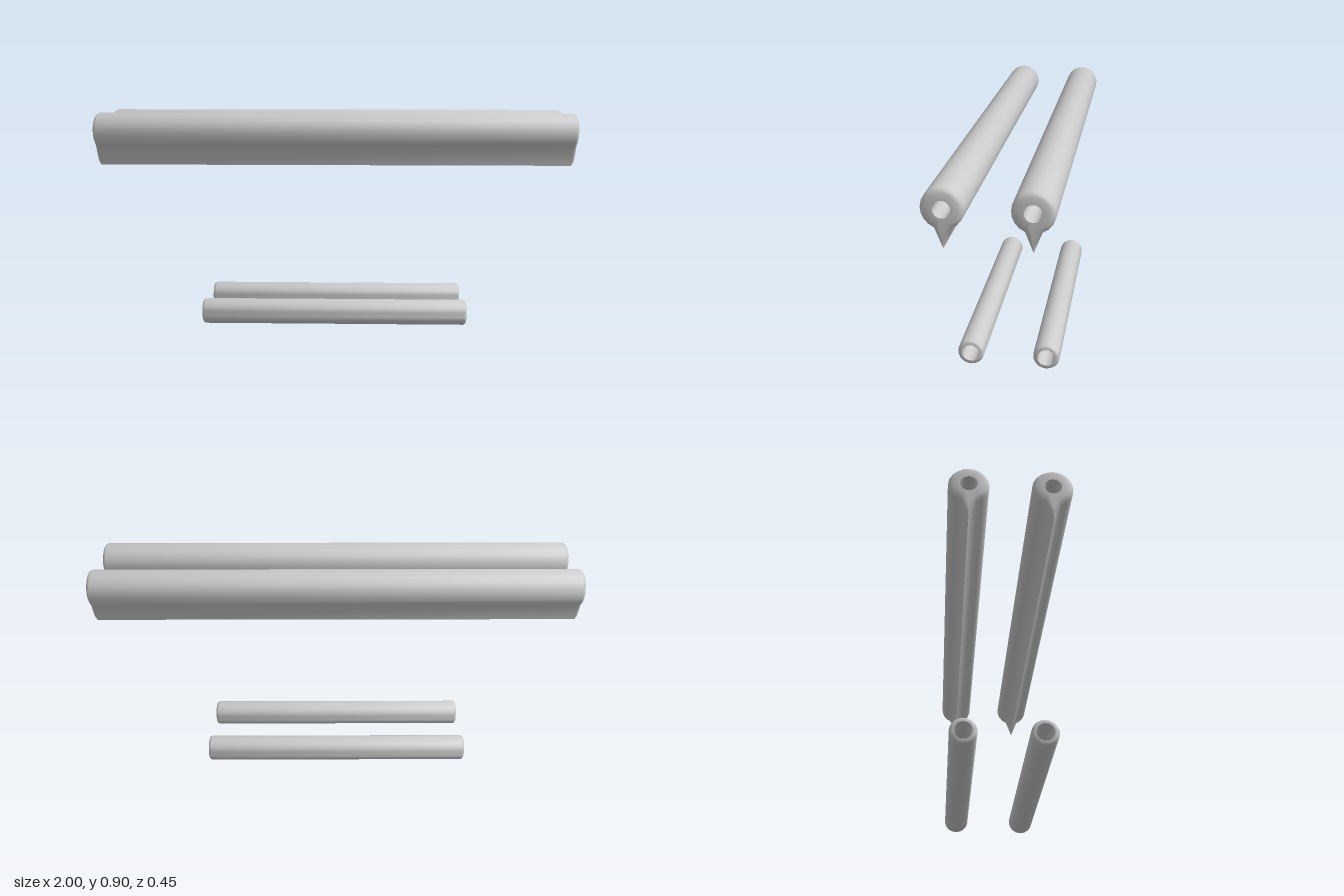
import * as THREE from 'three';
import { toCreasedNormals } from 'three/addons/utils/BufferGeometryUtils.js';

// Closed outline in [z, y], counter-clockwise; a fin adds a point below
function outline(radius, sides, fin) {
  const gap = fin ? Math.asin(fin.halfWidth / radius) : 0;
  const start = -Math.PI / 2 + gap, sweep = Math.PI * 2 - gap * 2;
  const points = [];
  const count = fin ? sides + 1 : sides;
  for (let i = 0; i < count; i++) {
    const t = start + sweep * i / sides;
    points.push([Math.cos(t) * radius, Math.sin(t) * radius]);
  }
  if (fin) points.push([0, -fin.depth]);
  return points;
}

// Hollow bar along x with softened end rims. Each end step is
// [k, inset]: k = 0 at the hole, 1 at the outline; inset = distance from the end.
function hollowBar(points, hole, halfLength, endSteps) {
  const rings = [
    ...endSteps.map(([k, inset]) => [k, halfLength - inset]),
    ...endSteps.slice().reverse().map(([k, inset]) => [k, inset - halfLength]),
  ];
  const positions = [], index = [], n = points.length;
  for (const [k, x] of rings) {
    for (const [z, y] of points) {
      const f = hole / Math.hypot(z, y) * (1 - k) + k;
      positions.push(x, y * f, z * f);
    }
  }
  for (let j = 0; j < rings.length; j++) {
    const next = (j + 1) % rings.length;
    for (let i = 0; i < n; i++) {
      const i2 = (i + 1) % n;
      const a = j * n + i, b = j * n + i2, c = next * n + i, d = next * n + i2;
      index.push(a, b, c, b, d, c);
    }
  }
  const geometry = new THREE.BufferGeometry();
  geometry.setAttribute('position', new THREE.Float32BufferAttribute(positions, 3));
  geometry.setIndex(index);
  return toCreasedNormals(geometry, 1.0);
}

export function createModel() {
  const model = new THREE.Group();
  const material = new THREE.MeshStandardMaterial({ color: 0xcccccc });

  const add = (name, geometry, x, y, z) => {
    const mesh = new THREE.Mesh(geometry, material);
    mesh.name = name;
    mesh.position.set(x, y, z);
    model.add(mesh);
  };

  // Long upper tubes with a wedge-shaped fin underneath
  const finned = hollowBar(
    outline(0.075, 18, { halfWidth: 0.029, depth: 0.143 }), 0.031, 1,
    [[0, 0], [0.6, 0], [0.85, 0.005], [1, 0.015]]);
  add('frontFinnedTube', finned, 0, 0.828, 0.152);
  add('backFinnedTube', finned, 0, 0.828, -0.152);

  // Short plain lower tubes
  const plain = hollowBar(outline(0.0535, 18), 0.035, 0.5625,
    [[0, 0], [0.4, 0], [0.8, 0.004], [1, 0.012]]);
  add('frontLowerTube', plain, -0.0015, 0.0545, 0.156);
  add('backLowerTube', plain, -0.0015, 0.0545, -0.148);

  return model;
}
